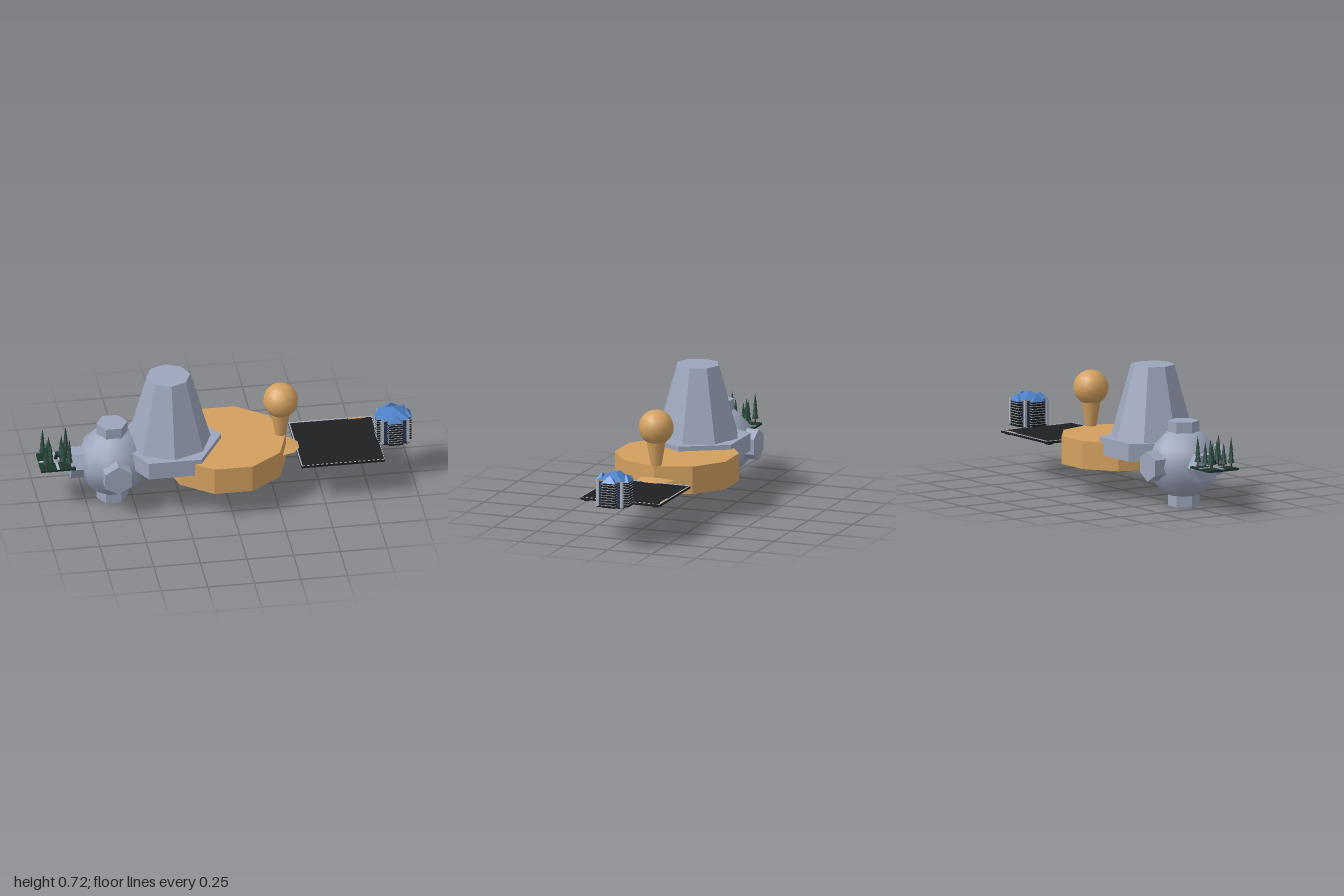
import * as THREE from 'three';

const mat = (name, hex) => {
  const m = new THREE.MeshStandardMaterial({ color: hex });
  m.name = name;
  return m;
};

export function createModel() {
  const grey = mat('blueGrey', 0x9ca5bb), tan = mat('tan', 0xd3a05f), black = mat('black', 0x1e2022);
  const blue = mat('roofBlue', 0x4a80c8), glass = mat('darkBlue', 0x2b3d63), light = mat('paleGrey', 0xaeb4c2);
  const green = mat('darkGreen', 0x1d352d), leaf = mat('treeGreen', 0x2a4a40), bark = mat('bark', 0x4a3a2c);
  const root = new THREE.Group();
  root.name = 'model';

  const group = (name, x = 0, y = 0, z = 0) => {
    const g = new THREE.Group();
    g.name = name;
    g.position.set(x, y, z);
    root.add(g);
    return g;
  };
  const add = (parent, name, geo, material, x = 0, y = 0, z = 0) => {
    const m = new THREE.Mesh(geo, material);
    m.name = name;
    m.position.set(x, y, z);
    parent.add(m);
    return m;
  };
  const flat = (geo) => {
    const g = geo.toNonIndexed();
    g.computeVertexNormals();
    return g;
  };
  const prism = (rTop, rBottom, h, sides, turn = 0) =>
    flat(new THREE.CylinderGeometry(rTop, rBottom, h, sides).rotateY(turn));
  const box = (w, h, d) => new THREE.BoxGeometry(w, h, d);

  // Ten-sided main drum
  add(root, 'mainDrum', prism(0.33, 0.33, 0.15, 10, Math.PI / 2), tan, -0.003, 0.228, 0);

  // Hexagonal base with tapered octagonal tower
  const tower = group('tower', -0.305, 0, 0);
  add(tower, 'towerBase', prism(0.282, 0.282, 0.096, 6, Math.PI / 2), grey, 0, 0.281, 0);
  add(tower, 'towerShaft', prism(0.117, 0.227, 0.388, 8), grey, 0, 0.523, 0);

  // Spherical node with six hexagonal ports
  const node = group('node', -0.607, 0.228, 0);
  add(node, 'nodeSphere', new THREE.SphereGeometry(0.19, 10, 6), grey);
  const port = () => new THREE.CylinderGeometry(0.083, 0.083, 0.456, 6);
  add(node, 'verticalPorts', flat(port().rotateY(Math.PI / 2)), grey);
  add(node, 'sidePorts', flat(port().rotateZ(Math.PI / 2)), grey);
  add(node, 'frontPorts', flat(port().rotateX(Math.PI / 2)), grey);

  // Ball on an inverted cone, with a flared foot
  const beacon = group('beacon', 0.298, 0, 0);
  add(beacon, 'ball', new THREE.SphereGeometry(0.094, 14, 10), tan, 0, 0.51, 0);
  add(beacon, 'ballStem', new THREE.CylinderGeometry(0.053, 0.016, 0.22, 12), tan, 0, 0.335, 0);
  add(beacon, 'ballFoot', prism(0.012, 0.1, 0.016, 10), tan, 0, 0.235, 0);

  // Thin black deck with pale edging and feet
  const deck = group('deck', 0.599, 0, 0);
  add(deck, 'deckPlate', box(0.448, 0.012, 0.452), black, 0, 0.22, 0);
  for (const s of [-1, 1]) {
    for (const t of [-1, 1]) add(deck, 'deckFoot', box(0.036, 0.008, 0.025), black, s * 0.195, 0.21, t * 0.197);
  }
  add(deck, 'backEdge', box(0.448, 0.003, 0.006), light, 0, 0.2275, -0.223);
  add(deck, 'innerEdge', box(0.006, 0.003, 0.452), light, -0.221, 0.2275, 0);
  add(deck, 'backMarker', box(0.09, 0.004, 0.008), tan, 0.14, 0.228, -0.217);
  for (let i = 0; i < 18; i++) {
    const p = -0.2125 + i * 0.025;
    add(deck, 'frontDash', box(0.012, 0.003, 0.005), light, p, 0.2275, 0.223);
    add(deck, 'outerDash', box(0.005, 0.003, 0.012), light, 0.221, 0.2275, p);
  }

  // Cross-plan building with striped storeys
  const house = group('building', 0.901, 0, 0);
  add(house, 'buildingBase', box(0.15, 0.008, 0.15), black, 0, 0.228, 0);
  add(house, 'core', box(0.13, 0.14, 0.13), glass, 0, 0.298, 0);
  add(house, 'longWing', box(0.184, 0.134, 0.076), black, 0, 0.293, 0);
  add(house, 'crossWing', box(0.076, 0.134, 0.184), black, 0, 0.293, 0);
  for (let i = 0; i < 9; i++) {
    const y = 0.24 + i * 0.0138;
    add(house, 'longFloor', box(0.187, 0.0028, 0.079), light, 0, y, 0);
    add(house, 'crossFloor', box(0.079, 0.0028, 0.187), light, 0, y, 0);
    add(house, 'coreFloor', box(0.132, 0.002, 0.132), black, 0, y, 0);
  }
  for (const s of [-1, 1]) {
    for (const t of [-1, 1]) add(house, 'cornerColumn', box(0.014, 0.14, 0.014), light, s * 0.069, 0.298, t * 0.069);
  }
  add(house, 'eaves', box(0.146, 0.004, 0.146), tan, 0, 0.369, 0);
  add(house, 'mainRoof', prism(0, 0.105, 0.039, 4, Math.PI / 4), blue, 0, 0.3905, 0);

  // Sloping roof over each wing end
  const slope = new THREE.Shape([[0.066, 0], [0.096, 0], [0.07, 0.036], [0.066, 0.036]]
    .map(([x, y]) => new THREE.Vector2(x, y)));
  const wingRoof = new THREE.ExtrudeGeometry(slope, { depth: 0.08, bevelEnabled: false }).translate(0, 0, -0.04);
  // Taper the upper edge to a point
  const wp = wingRoof.attributes.position;
  for (let i = 0; i < wp.count; i++) if (wp.getY(i) > 0.01) wp.setZ(i, wp.getZ(i) * 0.1);
  wingRoof.computeVertexNormals();
  for (let i = 0; i < 4; i++) {
    add(house, 'wingRoof', wingRoof, blue, 0, 0.36, 0).rotation.y = i * Math.PI / 2;
  }

  // Small park with paths, monument and conifers
  const park = group('park', -0.907, 0, 0);
  add(park, 'parkPlate', box(0.186, 0.011, 0.186), green, 0, 0.24, 0);
  add(park, 'longPath', box(0.186, 0.002, 0.014), light, 0, 0.2465, 0);
  add(park, 'crossPath', box(0.014, 0.002, 0.186), light, 0, 0.2465, 0);
  add(park, 'monumentBase', prism(0.02, 0.022, 0.014, 8), light, 0, 0.253, 0);
  add(park, 'monument', prism(0.008, 0.01, 0.022, 8), black, 0, 0.27, 0);

  const tree = (x, z, h) => {
    const g = new THREE.Group();
    g.name = 'tree';
    g.position.set(x, 0.245, z);
    park.add(g);
    add(g, 'trunk', prism(0.004, 0.005, h * 0.25, 6), bark, 0, h * 0.125, 0);
    for (let i = 0; i < 3; i++) {
      add(g, 'foliage', prism(0, 0.018 - i * 0.004, h * 0.42, 7), leaf, 0, h * (0.37 + i * 0.21), 0);
    }
  };
  for (const s of [-1, 1]) {
    for (const t of [-1, 1]) {
      tree(s * 0.062, t * 0.065, 0.167);
      tree(s * 0.034, t * 0.036, 0.135);
    }
  }
  return root;
}
